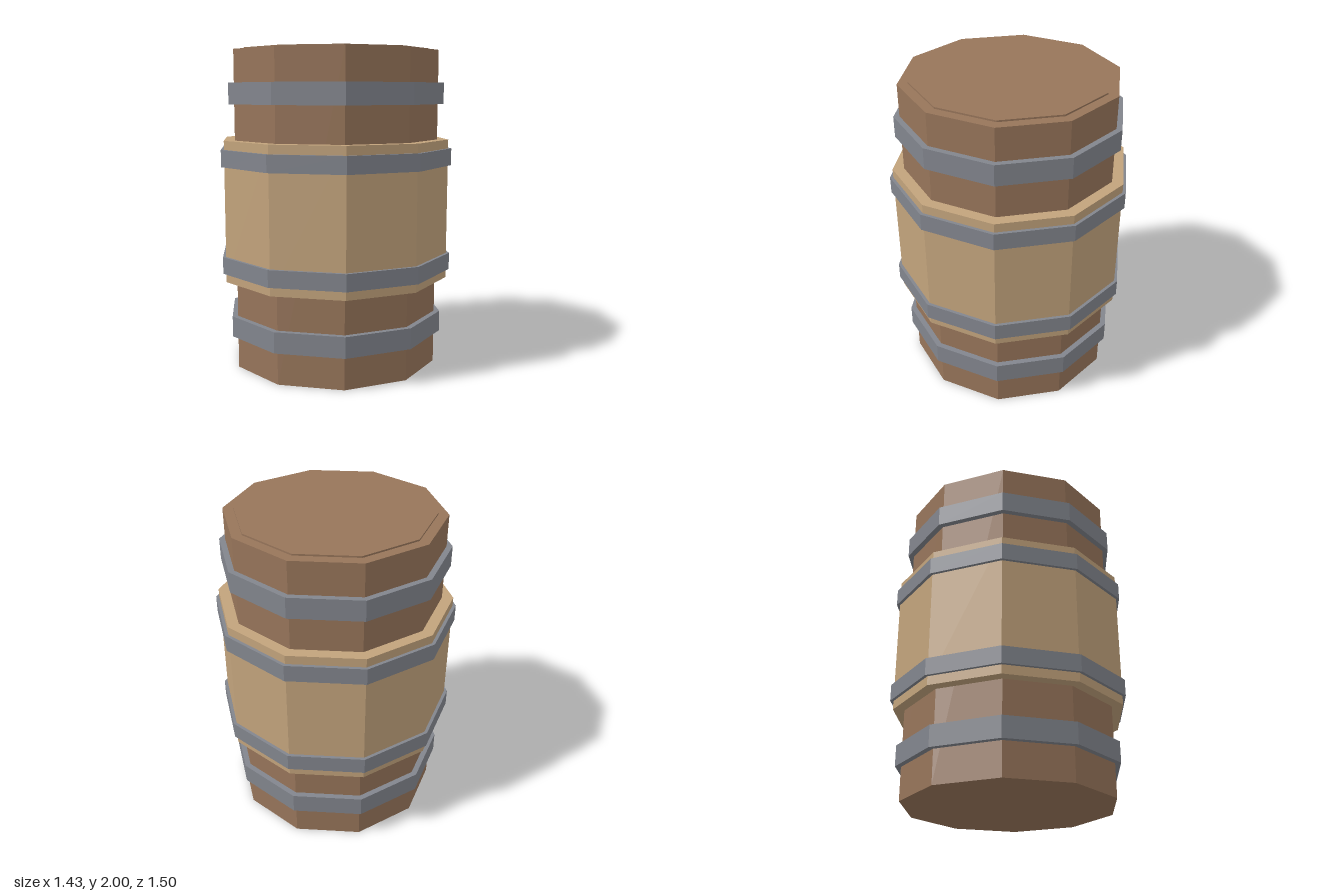
import * as THREE from 'three';

const SIDES = 10;

function material(name, color) {
  const m = new THREE.MeshStandardMaterial({ color });
  m.name = name;
  return m;
}

// Ten-sided drum with flat facets, spanning y0 to y1, one corner facing +z
function drum(name, radius, y0, y1, mat) {
  const geometry = new THREE.CylinderGeometry(radius, radius, y1 - y0, SIDES).toNonIndexed();
  geometry.computeVertexNormals();
  const mesh = new THREE.Mesh(geometry, mat);
  mesh.name = name;
  mesh.position.y = (y0 + y1) / 2;
  return mesh;
}

export function createModel() {
  const darkWood = material('dark wood', 0x97755a);
  const lightWood = material('light wood', 0xc2a37c);
  const iron = material('iron', 0x82858d);

  const barrel = new THREE.Group();
  barrel.name = 'barrel';

  // Wooden body, raised lid and wider belly
  barrel.add(drum('body', 0.66, 0, 1.99, darkWood));
  barrel.add(drum('lid', 0.597, 1.98, 2, darkWood));
  barrel.add(drum('belly', 0.73, 0.56, 1.44, lightWood));

  // Iron hoops, from bottom to top
  const hoops = [
    ['lowerEndHoop', 0.696, 0.205, 0.335],
    ['lowerBellyHoop', 0.75, 0.615, 0.72],
    ['upperBellyHoop', 0.75, 1.28, 1.385],
    ['upperEndHoop', 0.696, 1.66, 1.79],
  ];
  for (const [name, radius, y0, y1] of hoops) barrel.add(drum(name, radius, y0, y1, iron));

  return barrel;
}
